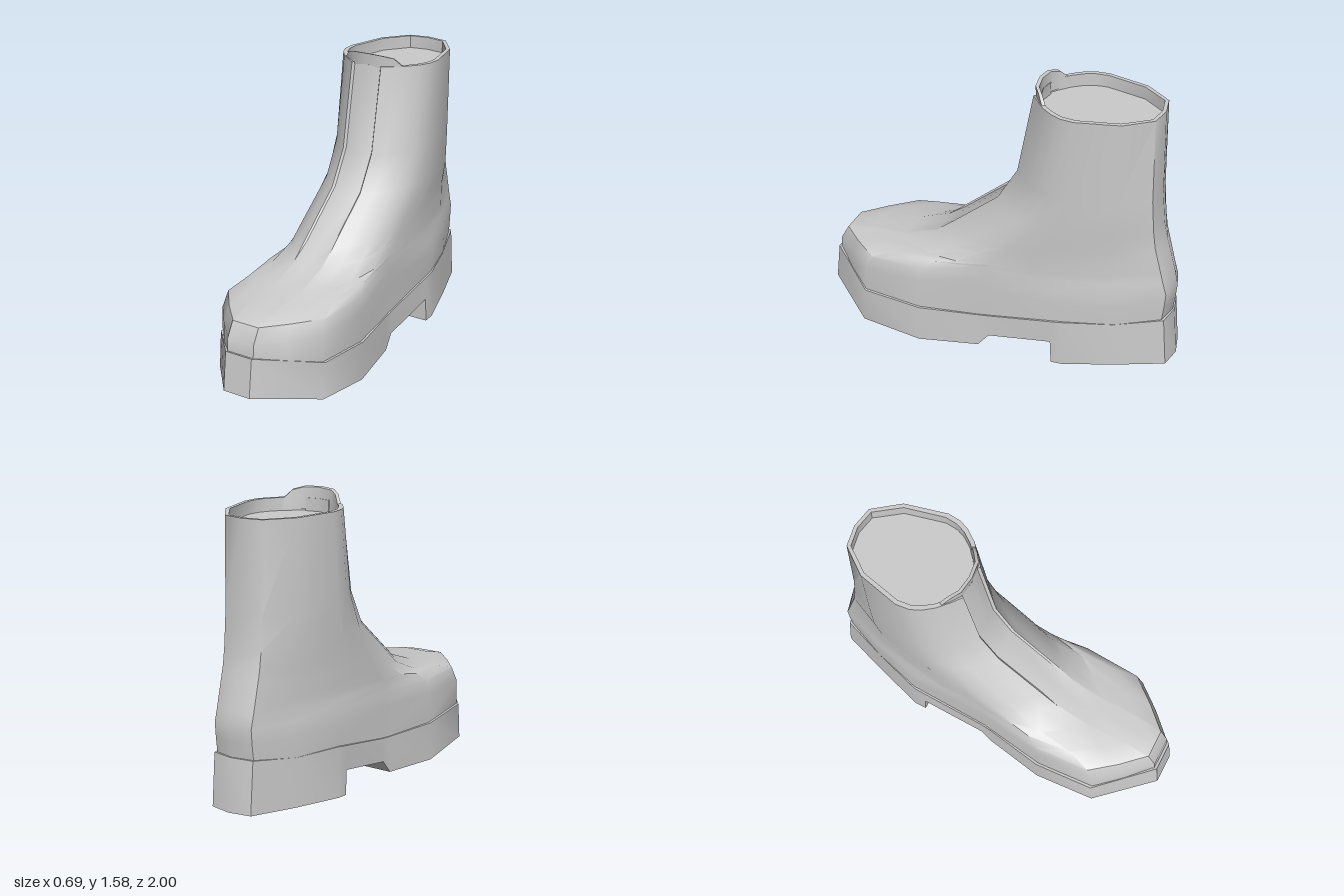
import * as THREE from 'three';
import { toCreasedNormals } from 'three/addons/utils/BufferGeometryUtils.js';

const grey = new THREE.MeshStandardMaterial({ color: 0xcccccc, side: THREE.DoubleSide });

// Skin a list of closed rings (arrays of [x, y, z]), with optional end caps
function loft(name, rings, capStart, capEnd, crease) {
  const pos = [];
  const n = rings[0].length;
  const tri = (a, b, c) => pos.push(...a, ...b, ...c);
  for (let r = 0; r < rings.length - 1; r++) {
    for (let i = 0; i < n; i++) {
      const j = (i + 1) % n;
      const [a, b, c, d] = [rings[r][i], rings[r][j], rings[r + 1][j], rings[r + 1][i]];
      tri(a, b, c);
      tri(a, c, d);
    }
  }
  const cap = (ring, flip) => {
    const mid = [0, 1, 2].map(k => ring.reduce((s, p) => s + p[k], 0) / n);
    ring.forEach((p, i) => {
      const q = ring[(i + 1) % n];
      flip ? tri(mid, q, p) : tri(mid, p, q);
    });
  };
  if (capStart) cap(rings[0], true);
  if (capEnd) cap(rings[rings.length - 1], false);
  const geo = new THREE.BufferGeometry();
  geo.setAttribute('position', new THREE.Float32BufferAttribute(pos, 3));
  const mesh = new THREE.Mesh(toCreasedNormals(geo, crease), grey);
  mesh.name = name;
  return mesh;
}

// Complete a half ring (front centre to back centre) by mirroring in x
const mirrorRing = half =>
  half.concat(half.slice(1, -1).reverse().map(([x, y, z]) => [-x, y, z]));

// Sole stations from toe to heel: z, half width, top y, bottom y
const SOLE = [
  [1, 0.08, 0.305, 0.095], [0.71, 0.33, 0.235, 0.035], [0.37, 0.343, 0.215, 0],
  [0.04, 0.285, 0.217, 0.015], [-0.02, 0.28, 0.222, 0.09], [-0.38, 0.286, 0.287, 0.155],
  [-0.385, 0.286, 0.287, 0.02], [-0.45, 0.287, 0.3, 0.025], [-0.72, 0.205, 0.302, 0.04],
  [-0.975, 0.12, 0.34, 0.06], [-1, 0, 0.342, 0.061],
];
const TOP_TAPER = 0.975;

function soleTop(z) {
  const s = z / TOP_TAPER;
  for (let i = 0; i < SOLE.length - 1; i++) {
    const [a, b] = [SOLE[i], SOLE[i + 1]];
    if (s >= b[0]) return THREE.MathUtils.mapLinear(s, a[0], b[0], a[2], b[2]);
  }
  return SOLE[SOLE.length - 1][2];
}

// Half outlines: x, and u = 0 (front) to 1 (back)
const FOOT_X = [0, 0.08, 0.085, 0.2, 0.315, 0.33, 0.272, 0.276, 0.2, 0.113, 0];
const FOOT_U = [0, 0, 0.005, 0.065, 0.137, 0.3075, 0.5, 0.73, 0.87, 0.985, 1];
const SHAFT_X = [0, 0.08, 0.09, 0.14, 0.2, 0.245, 0.268, 0.275, 0.22, 0.113, 0];
const SHAFT_U = [0, 0, 0, 0.06, 0.14, 0.23, 0.31, 0.42, 0.76, 0.97, 1];

// Upper levels: front z, front y, back z, back y, foot-to-shaft blend, tongue recess
const LEVELS = [
  [0.955, 0.37, -0.975, 0.42, 0, 0],
  [0.91, 0.45, -0.982, 0.5, 0.08, 0],
  [0.76, 0.49, -0.968, 0.57, 0.4, 0],
  [0.55, 0.5, -0.95, 0.64, 0.6, 0],
  [0.36, 0.57, -0.925, 0.73, 0.75, 0],
  [0.27, 0.645, -0.91, 0.78, 0.8, 0.012],
  [0, 0.87, -0.89, 0.87, 0.92, 0.015],
  [-0.11, 1.06, -0.872, 1.05, 0.97, 0.015],
  [-0.195, 1.518, -0.86, 1.518, 1, 0.015],
];

function upperRing([fz, fy, bz, by, k, recess]) {
  const { lerp } = THREE.MathUtils;
  return FOOT_X.map((x, i) => {
    const u = lerp(FOOT_U[i], SHAFT_U[i], k);
    return [lerp(x, SHAFT_X[i], k), lerp(fy, by, u), lerp(fz, bz, u) - (i === 1 ? recess : 0)];
  });
}

export function createModel() {
  const boot = new THREE.Group();
  boot.name = 'boot';

  // Sole with arch and stepped heel
  boot.add(loft('sole', SOLE.map(([z, x, t, b]) => [
    [x, t, z * TOP_TAPER], [x, b, z], [-x, b, z], [-x, t, z * TOP_TAPER],
  ]), true, true, 0.7));

  // Upper: foot and shaft, turned over at the rim down to the inside floor
  const welt = upperRing([0.96, 0, -0.965, 0, 0, 0]).map(([x, , z]) => [x, soleTop(z) - 0.005, z]);
  const outer = LEVELS.map(upperRing);
  const rim = outer[outer.length - 1];
  const inside = y => rim.map(([x, , z]) => [x * 0.91, y, -0.53 + (z + 0.53) * 0.94]);
  const halves = [welt, ...outer, inside(1.518), inside(1.45)];
  boot.add(loft('upper', halves.map(mirrorRing), false, true, 0.75));

  // Tongue tab rising above the front of the rim: x, top y, z
  const tab = [[0, 1.58, -0.193], [0.09, 1.575, -0.205], [0.14, 1.56, -0.24], [0.175, 1.52, -0.27]];
  const front = [...tab.slice(1).reverse().map(([x, y, z]) => [-x, y, z]), ...tab];
  const back = front.map(([x, y, z]) => [x * 0.96, y - 0.004, z - 0.018]).reverse();
  const top = [...front, ...back];
  const tongue = loft('tongueTab', [top.map(([x, , z]) => [x, 1.46, z - 0.006]), top], false, false, 0.6);
  boot.add(tongue);

  // Thin strip closing the tab's top edge
  const edge = new THREE.BufferGeometry();
  const m = front.length;
  edge.setAttribute('position', new THREE.Float32BufferAttribute(top.flat(), 3));
  edge.setIndex(front.slice(1).flatMap((_, i) => {
    const [a, b, c, d] = [i, i + 1, 2 * m - 2 - i, 2 * m - 1 - i];
    return [a, b, c, a, c, d];
  }));
  edge.computeVertexNormals();
  const edgeMesh = new THREE.Mesh(edge, grey);
  edgeMesh.name = 'tongueTabEdge';
  boot.add(edgeMesh);

  return boot;
}
